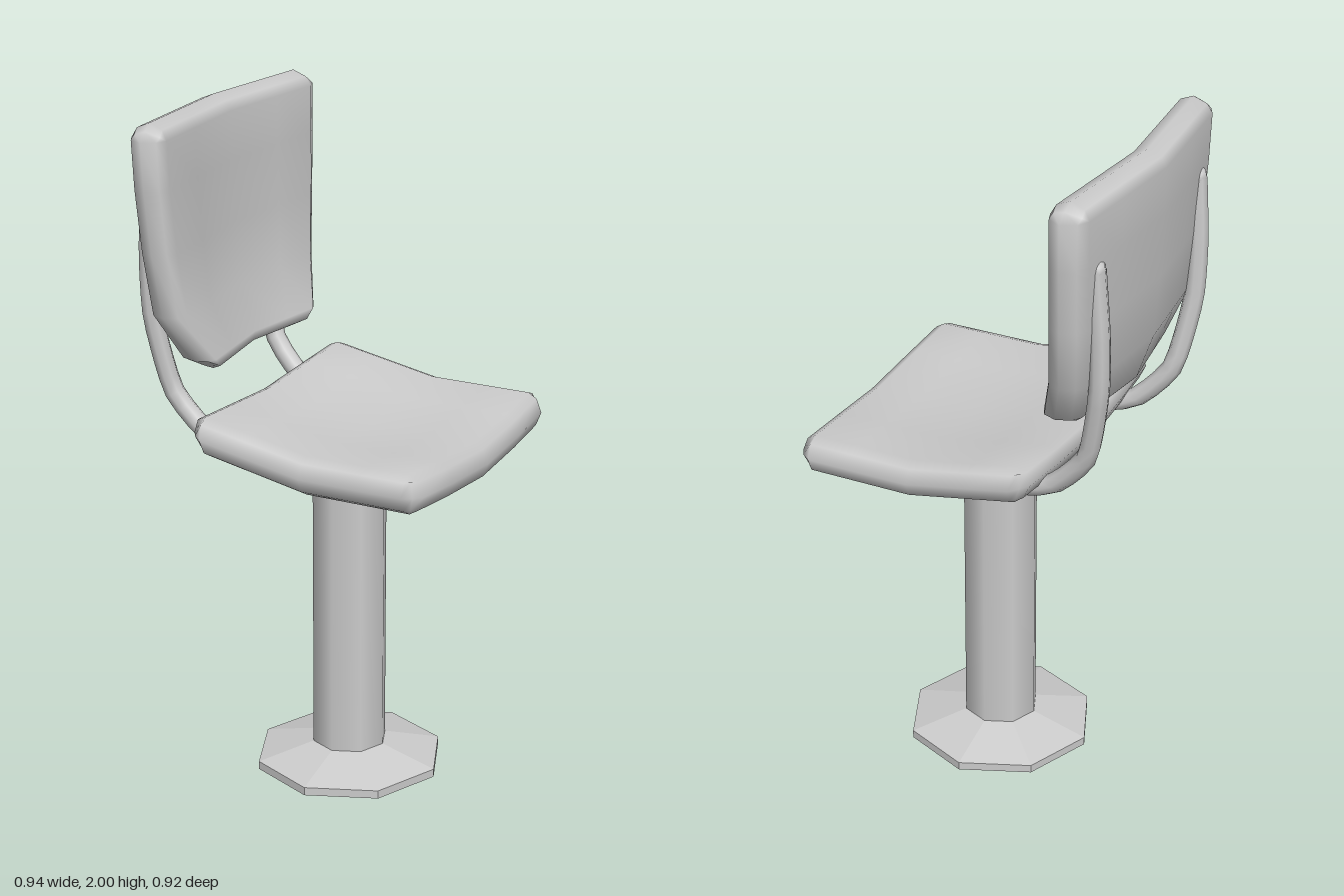
import * as THREE from 'three';
import { mergeVertices } from 'three/addons/utils/BufferGeometryUtils.js';

const STOPS = [-1, -0.88, -0.5, 0, 0.5, 0.88, 1];

// Piecewise-linear lookup of a table given at STOPS
function lookup(table, u) {
  let i = 0;
  while (i < STOPS.length - 2 && u > STOPS[i + 1]) i++;
  return THREE.MathUtils.lerp(table[i], table[i + 1], (u - STOPS[i]) / (STOPS[i + 1] - STOPS[i]));
}

// Soft cushion: a subdivided box with rounded rim and corners, placed by place(u, v, w)
function cushion(place) {
  let geo = new THREE.BoxGeometry(1, 1, 1, 6, 2, 6);
  geo.deleteAttribute('normal');
  geo.deleteAttribute('uv');
  geo = mergeVertices(geo);
  const pos = geo.attributes.position;
  const stop = (p) => STOPS[Math.round((p + 0.5) * 6)];
  for (let i = 0; i < pos.count; i++) {
    let u = stop(pos.getX(i)), v = pos.getY(i) * 2, w = stop(pos.getZ(i));
    const onU = Math.abs(u) === 1, onW = Math.abs(w) === 1;
    if (onU && onW) { u *= 0.95; w *= 0.95; }
    if ((onU || onW) && Math.abs(v) > 0.5) {
      if (onU) u *= 0.955;
      if (onW) w *= 0.955;
      v *= 0.72;
    }
    pos.setXYZ(i, ...place(u, v, w));
  }
  geo.computeVertexNormals();
  return geo;
}

export function createModel() {
  const group = new THREE.Group();
  const material = new THREE.MeshStandardMaterial({ color: 0xcccccc });
  const add = (name, geometry, parent = group) => {
    const mesh = new THREE.Mesh(geometry, material);
    mesh.name = name;
    parent.add(mesh);
    return mesh;
  };

  // Octagonal floor flange
  const flat = new THREE.MeshStandardMaterial({ color: 0xcccccc, flatShading: true });
  const profile = [[0, 0], [0.285, 0], [0.285, 0.025], [0.113, 0.07], [0, 0.07]];
  const flange = add('baseFlange', new THREE.LatheGeometry(profile.map((p) => new THREE.Vector2(...p)), 8));
  flange.material = flat;
  flange.position.x = 0.027;

  // Pedestal column
  const column = add('column', new THREE.CylinderGeometry(0.113, 0.113, 0.97, 8));
  column.position.set(0.027, 0.545, 0);

  // Seat: shallow valley across its width, rear half sloping up
  add('seat', cushion((u, v, w) => {
    const x = 0.1 + u * (0.37 - 0.013 * w * w);
    const y = 1.028 + 0.035 * Math.abs(w) ** 1.2 + 0.19 * Math.max(0, 0.1 - x) + 0.057 * v;
    return [x - 0.12 * Math.max(0, -u) * 0.057 * v, y, 0.445 * w];
  }));

  // Backrest: tapers downward, sides wrap forward, lower lip curls forward
  const halfWidth = [0.27, 0.325, 0.405, 0.435, 0.455, 0.462, 0.455];
  const midX = [-0.325, -0.342, -0.39, -0.403, -0.41, -0.413, -0.413];
  add('backrest', cushion((u, v, w) => [
    lookup(midX, u) + 0.042 * Math.abs(w) - 0.056 * v,
    1.6325 + 0.3675 * u,
    lookup(halfWidth, u) * w,
  ]));

  // Pair of bent bars joining the seat underside to the backrest
  const path = [
    [0.36, 1.025, 0.27], [0.08, 1.02, 0.27], [-0.1, 1.03, 0.27], [-0.27, 1.075, 0.28],
    [-0.385, 1.2, 0.295], [-0.43, 1.42, 0.325], [-0.433, 1.6, 0.335], [-0.42, 1.79, 0.34],
  ];
  for (const side of [1, -1]) {
    const bar = new THREE.Group();
    bar.name = side > 0 ? 'leftSupportBar' : 'rightSupportBar';
    const points = path.map(([x, y, z]) => new THREE.Vector3(x, y, z * side));
    const curve = new THREE.CatmullRomCurve3(points, false, 'catmullrom', 0.3);
    add('tube', new THREE.TubeGeometry(curve, 28, 0.03, 8), bar);
    for (const end of [points[0], points[points.length - 1]]) {
      add('barEnd', new THREE.SphereGeometry(0.03, 8, 6), bar).position.copy(end);
    }
    group.add(bar);
  }
  return group;
}
